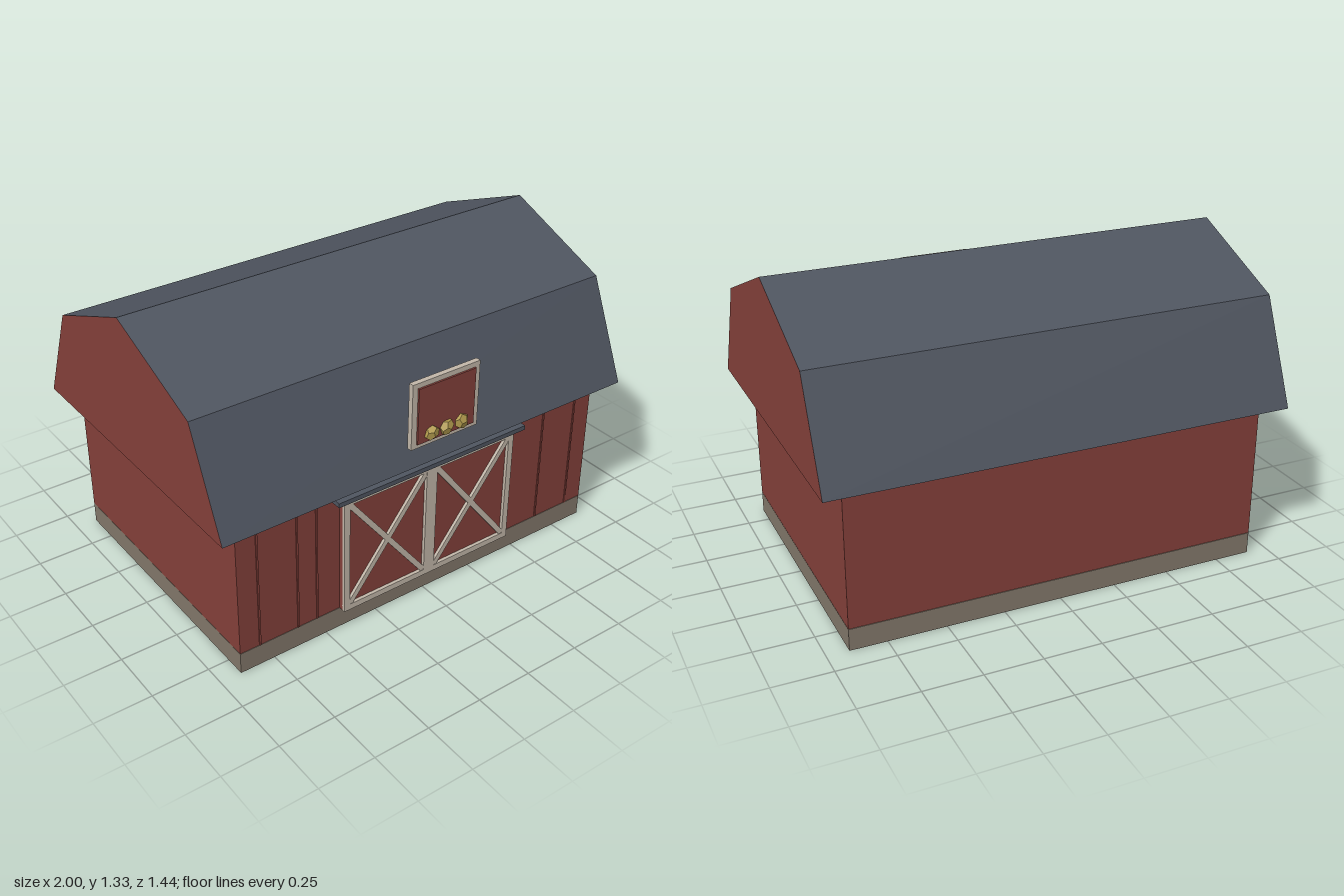
import * as THREE from 'three';

const paint = (name, color, extra = {}) =>
  Object.assign(new THREE.MeshStandardMaterial({ color, ...extra }), { name });

export function createModel() {
  const red = paint('barnRed', 0x84403a);
  const slate = paint('slateRoof', 0x4f5560);
  const trim = paint('paleTrim', 0xc2b7a9);
  const stone = paint('stone', 0x82776a, { side: THREE.DoubleSide });
  const straw = paint('straw', 0xb39c4e, { flatShading: true });

  const barn = new THREE.Group();
  barn.name = 'barn';

  const add = (parent, name, geometry, material) => {
    const mesh = new THREE.Mesh(geometry, material);
    mesh.name = name;
    parent.add(mesh);
    return mesh;
  };
  // Box given by its extents on each axis
  const box = (parent, name, material, [x0, x1], [y0, y1], [z0, z1]) => {
    const g = new THREE.BoxGeometry(x1 - x0, y1 - y0, z1 - z0);
    g.translate((x0 + x1) / 2, (y0 + y1) / 2, (z0 + z1) / 2);
    return add(parent, name, g, material);
  };

  const midZ = -0.026, front = 0.592, back = -0.645, half = 0.907;

  // Foundation: a hollow plinth, open underneath
  const plinth = box(barn, 'foundation', stone, [-half, half], [0, 0.095], [back, front]).geometry;
  const index = Array.from(plinth.index.array);
  index.splice(18, 6); // the downward face
  plinth.setIndex(index);
  plinth.clearGroups();

  // Walls
  box(barn, 'walls', red, [-half, half], [0.097, 0.695], [back, front]);

  // Thin vertical battens on the front wall
  for (const x of [-0.815, -0.634, -0.543, 0.453, 0.634, 0.815]) {
    box(barn, 'wallBatten', red, [x - 0.004, x + 0.004], [0.097, 0.695], [front, front + 0.004]);
  }

  // Gambrel roof: red gable ends, slate slopes and underside
  const profile = new THREE.Shape([
    [-0.69, 0.695], [0.69, 0.695], [0.498, 1.13], [0, 1.33], [-0.498, 1.13],
  ].map(([z, y]) => new THREE.Vector2(z, y)));
  const roof = new THREE.ExtrudeGeometry(profile, { depth: 2, bevelEnabled: false });
  roof.translate(0, 0, -1).rotateY(-Math.PI / 2).translate(0, 0, midZ);
  add(barn, 'gambrelRoof', roof, [red, slate]);

  // Pair of sliding doors, each framed and cross-braced
  const bottom = 0.097, top = 0.64, width = 0.434, bar = 0.027;
  for (const side of [-1, 1]) {
    const door = new THREE.Group();
    door.name = side > 0 ? 'leftDoor' : 'rightDoor';
    door.position.x = side * width / 2;
    barn.add(door);
    const w = width / 2, z = [0.61, 0.627];
    box(door, 'doorPanel', red, [-w, w], [bottom, top], [front, 0.612]);
    box(door, 'topBar', trim, [-w, w], [top - bar, top], z);
    box(door, 'bottomBar', trim, [-w, w], [bottom, bottom + bar], z);
    for (const s of [-1, 1]) {
      const x = s * (w - bar / 2);
      box(door, 'sideBar', trim, [x - bar / 2, x + bar / 2], [bottom, top], z);
      const dx = width - 2 * bar, dy = top - bottom - 2 * bar;
      const brace = add(door, 'crossBrace',
        new THREE.BoxGeometry(Math.hypot(dx, dy), 0.024, 0.015), trim);
      brace.position.set(0, (top + bottom) / 2, 0.618);
      brace.rotation.z = s * Math.atan2(dy, dx);
    }
  }
  box(barn, 'doorRail', slate, [-0.475, 0.475], [0.64, 0.66], [front, 0.648]);

  // Hayloft hatch: backing frame and red opening
  box(barn, 'loftFrame', trim, [-0.165, 0.165], [0.802, 1.092], [0.665, 0.688]);
  box(barn, 'loftOpening', red, [-0.14, 0.14], [0.822, 1.07], [0.688, 0.696]);

  // Clumps of hay on the hatch sill
  [-0.075, 0, 0.075].forEach((x, i) => {
    const hay = add(barn, 'hayClump', new THREE.DodecahedronGeometry(0.036, 0), straw);
    hay.scale.set(1, 0.9, 0.6);
    hay.position.set(x, 0.857, 0.699);
    hay.rotation.z = 0.3 + i * 0.7;
  });

  return barn;
}
